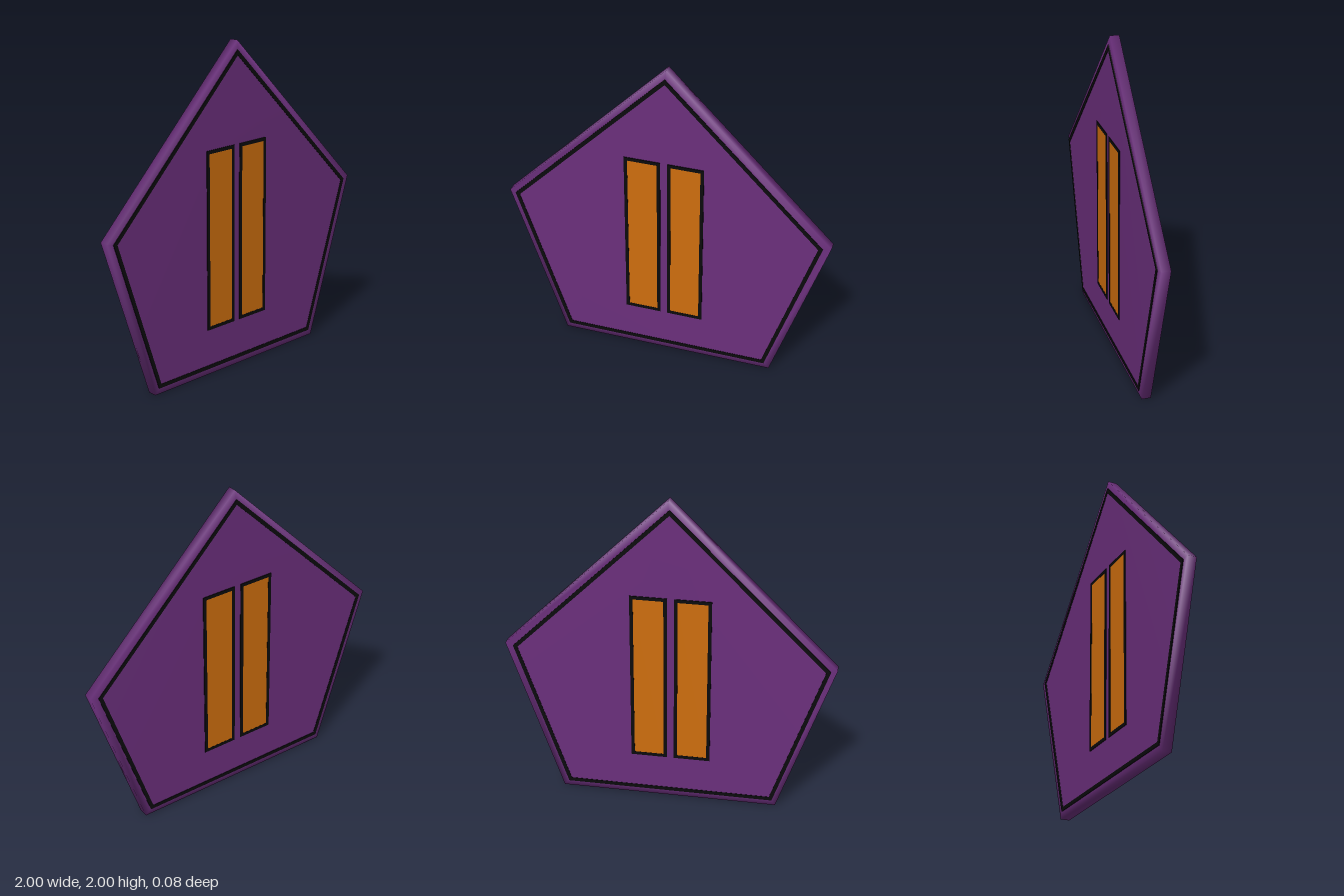
import * as THREE from 'three';
import { mergeVertices } from 'three/addons/utils/BufferGeometryUtils.js';

const mat = (name, color) => {
  const m = new THREE.MeshStandardMaterial({ color });
  m.name = name;
  return m;
};

// Pentagon outline, counter-clockwise
const CORNERS = [[0, 2], [-1, 1], [-0.67, 0], [0.67, 0], [1, 1]].map(p => new THREE.Vector2(...p));

// Outline moved inwards by an even distance
function inset(points, t) {
  const n = points.length;
  const inward = (a, b) => new THREE.Vector2(a.y - b.y, b.x - a.x).normalize();
  return points.map((p, i) => {
    const n1 = inward(points[(i + n - 1) % n], p);
    const n2 = inward(p, points[(i + 1) % n]);
    return p.clone().addScaledVector(n1.clone().add(n2), t / (1 + n1.dot(n2)));
  });
}

// Flat border between two insets of an outline
function border(points, from, to, depth) {
  const shape = new THREE.Shape(inset(points, from));
  shape.holes.push(new THREE.Path(inset(points, to)));
  return new THREE.ExtrudeGeometry(shape, { depth, bevelEnabled: false });
}

export function createModel() {
  const model = new THREE.Group();
  const purple = mat('purple', 0x6b2f7c);
  const orange = mat('orange', 0xce6e0e);
  const black = mat('black', 0x0a0a0c);

  const add = (name, geometry, material, x, z) => {
    const mesh = new THREE.Mesh(geometry, material);
    mesh.name = name;
    mesh.position.set(x, 0, z);
    model.add(mesh);
  };

  // Plate with a shallow sloping rim and softly shaded edges
  let plate = new THREE.ExtrudeGeometry(new THREE.Shape(CORNERS), {
    depth: 0.056, bevelThickness: 0.007, bevelSize: 0.05, bevelOffset: -0.05, bevelSegments: 1
  });
  plate.deleteAttribute('normal');
  plate.deleteAttribute('uv');
  plate = mergeVertices(plate);
  plate.computeVertexNormals();
  add('plate', plate, purple, 0, -0.028);

  // Border line and two framed bars on both faces
  for (const side of [1, -1]) {
    const face = side > 0 ? 'front' : 'back';
    const place = (name, geometry, material, depth, top, x = 0) =>
      add(face + name, geometry, material, x, side > 0 ? top - depth : -top);

    place('Border', border(CORNERS, 0.038, 0.062, 0.008), black, 0.008, 0.037, -0.005);

    for (const [label, x0, x1] of [['Right', -0.256, -0.033], ['Left', 0.009, 0.232]]) {
      const bar = [[x0, 0.288], [x1, 0.288], [x1, 1.39], [x0, 1.39]].map(p => new THREE.Vector2(...p));
      place(label + 'BarFrame', border(bar, 0, 0.021, 0.008), black, 0.008, 0.039);
      const fill = new THREE.ExtrudeGeometry(new THREE.Shape(inset(bar, 0.02)), { depth: 0.008, bevelEnabled: false });
      place(label + 'Bar', fill, orange, 0.008, 0.038);
    }
  }
  return model;
}
